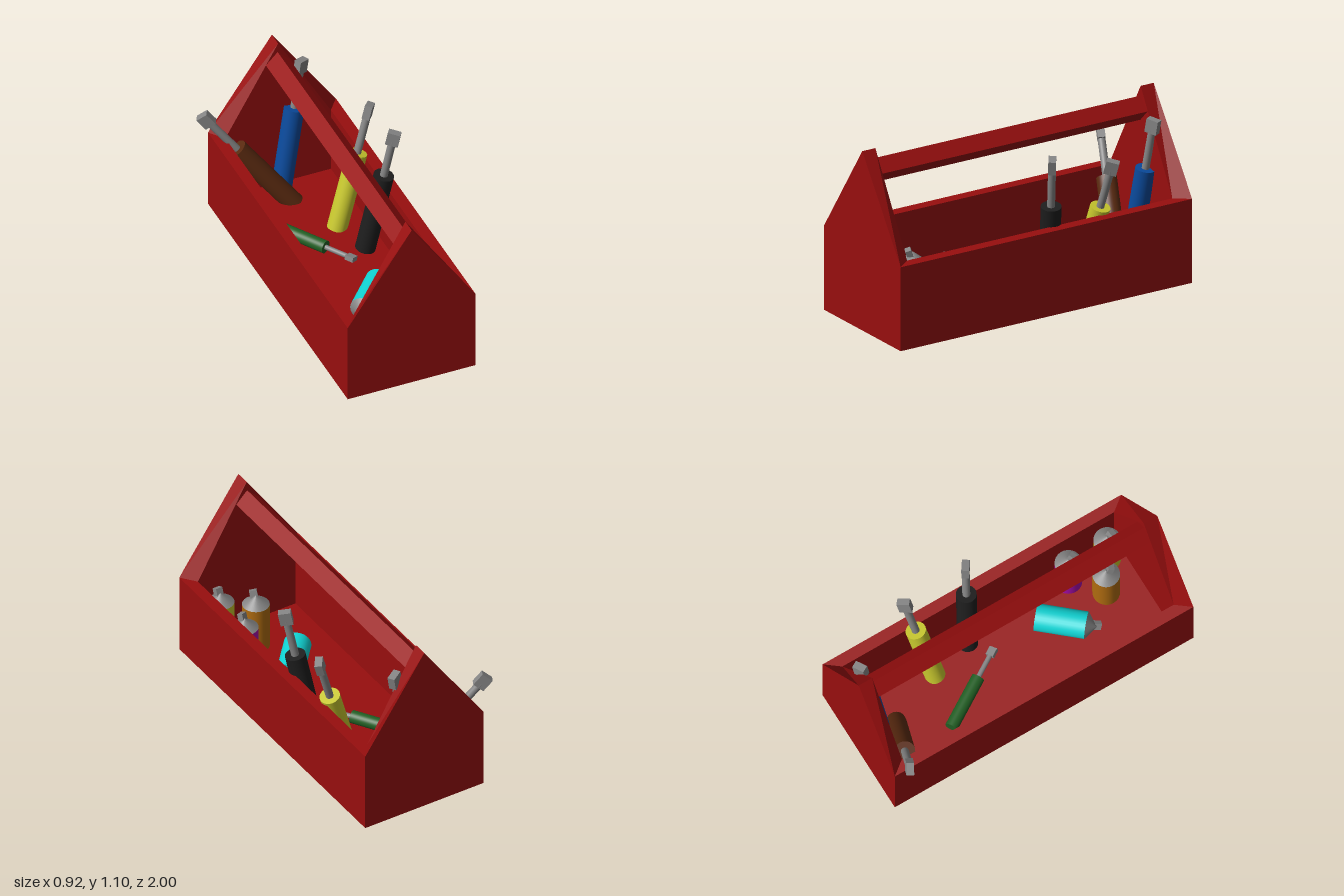
import * as THREE from 'three';

const mat = (name, color) => {
  const m = new THREE.MeshStandardMaterial({ color });
  m.name = name;
  return m;
};

export function createModel() {
  const red = mat('red', 0x980e0e), steel = mat('steel', 0x858585), black = mat('black', 0x1e1e1e);
  const yellow = mat('yellow', 0xc8c82e), blue = mat('blue', 0x0a4a9c), brown = mat('brown', 0x5a2a10);
  const green = mat('green', 0x226024), magenta = mat('magenta', 0xa80cac), cyan = mat('cyan', 0x10d4d4);
  const orange = mat('orange', 0xb06c10);

  const model = new THREE.Group();
  model.name = 'toolbox';
  const add = (parent, name, geometry, material, x = 0, y = 0, z = 0) => {
    const mesh = new THREE.Mesh(geometry, material);
    mesh.name = name;
    mesh.position.set(x, y, z);
    parent.add(mesh);
    return mesh;
  };

  // Open tray
  const cx = 0.05, wallTop = 0.515, floorY = 0.09, end = 0.09, side = 0.07;
  const tray = new THREE.Group();
  tray.name = 'tray';
  model.add(tray);
  add(tray, 'floor', new THREE.BoxGeometry(0.8, floorY, 2), red, cx, floorY / 2, 0);
  const wallH = wallTop - floorY, wallY = floorY + wallH / 2;
  for (const s of [-1, 1]) {
    add(tray, 'sideWall', new THREE.BoxGeometry(side, wallH, 2 - 2 * end), red, cx + s * (0.4 - side / 2), wallY, 0);
    add(tray, 'endWall', new THREE.BoxGeometry(0.8, wallH, end), red, cx, wallY, s * (1 - end / 2));

    // Pointed gable, its inner face narrowed to meet the side walls
    const shape = new THREE.Shape([[-0.4, 0], [0.4, 0], [0, 1.1 - wallTop]].map(p => new THREE.Vector2(...p)));
    const gable = new THREE.ExtrudeGeometry(shape, { depth: end, bevelEnabled: false });
    const p = gable.attributes.position;
    for (let i = 0; i < p.count; i++) if (p.getZ(i) < end / 2) p.setX(i, p.getX(i) * (1 - side / 0.4));
    gable.computeVertexNormals();
    const mesh = add(tray, 'gable', gable, red, cx, wallTop, s * (1 - end));
    if (s < 0) mesh.rotation.y = Math.PI;
  }

  // Square carrying bar set on edge
  const bar = new THREE.CylinderGeometry(0.074, 0.074, 2 - 2 * end, 4).toNonIndexed();
  bar.computeVertexNormals();
  add(model, 'carryBar', bar, red, cx - 0.003, 0.965, 0).rotation.x = Math.PI / 2;

  // Stand a group at a point with its own y axis along a direction
  const place = (group, base, dir) => {
    group.position.set(...base);
    group.quaternion.setFromUnitVectors(new THREE.Vector3(0, 1, 0), new THREE.Vector3(...dir).normalize());
    model.add(group);
  };

  // Screwdriver: grip, shaft and flat tip; grip runs from base to top
  const screwdriver = (name, material, base, top, turn, scale = 1) => {
    const g = new THREE.Group();
    g.name = name;
    const dir = top.map((v, i) => v - base[i]);
    const grip = Math.hypot(...dir) / scale;
    add(g, 'grip', new THREE.CylinderGeometry(0.06, 0.06, grip, 32), material, 0, grip / 2, 0);
    add(g, 'shaft', new THREE.CylinderGeometry(0.023, 0.023, 0.26, 24), steel, 0, grip + 0.13, 0);
    add(g, 'tip', new THREE.BoxGeometry(0.075, 0.085, 0.045), steel, 0, grip + 0.275, 0).rotation.y = turn;
    g.scale.setScalar(scale);
    place(g, base, dir);
  };
  screwdriver('blackScrewdriver', black, [0.26, 0.1, -0.143], [0.355, 0.63, -0.095], -0.6);
  screwdriver('yellowScrewdriver', yellow, [0.195, 0.08, -0.4], [0.34, 0.55, -0.443], 0.9);
  screwdriver('blueScrewdriver', blue, [0.045, 0.1, -0.85], [0.14, 0.63, -0.885], 0.5);
  screwdriver('brownScrewdriver', brown, [0.075, 0.06, -0.735], [-0.23, 0.46, -0.86], -0.5);
  screwdriver('greenScrewdriver', green, [-0.14, 0.126, -0.495], [0.04, 0.126, -0.207], 0.3, 0.64);

  // Bottle: body, conical cap and small nozzle
  const bottle = (name, material, base, dir, turn) => {
    const g = new THREE.Group();
    g.name = name;
    add(g, 'body', new THREE.CylinderGeometry(0.08, 0.08, 0.295, 32), material, 0, 0.1475, 0);
    add(g, 'cap', new THREE.ConeGeometry(0.08, 0.06, 32), steel, 0, 0.325, 0);
    const nozzle = add(g, 'nozzle', new THREE.BoxGeometry(0.045, 0.05, 0.035), steel, 0, 0.35, 0.025);
    nozzle.rotation.set(0.4, turn, 0);
    place(g, base, dir);
  };
  bottle('magentaBottle', magenta, [0.29, floorY, 0.55], [0, 1, 0], 0.5);
  bottle('yellowBottle', yellow, [0.29, floorY + 0.015, 0.81], [0, 1, 0], 0.1);
  bottle('orangeBottle', orange, [0.12, floorY, 0.7], [0, 1, 0], -0.5);
  bottle('cyanBottle', cyan, [0.17, 0.175, 0.26], [-0.66, 0.02, 0.75], 0.3);

  return model;
}
